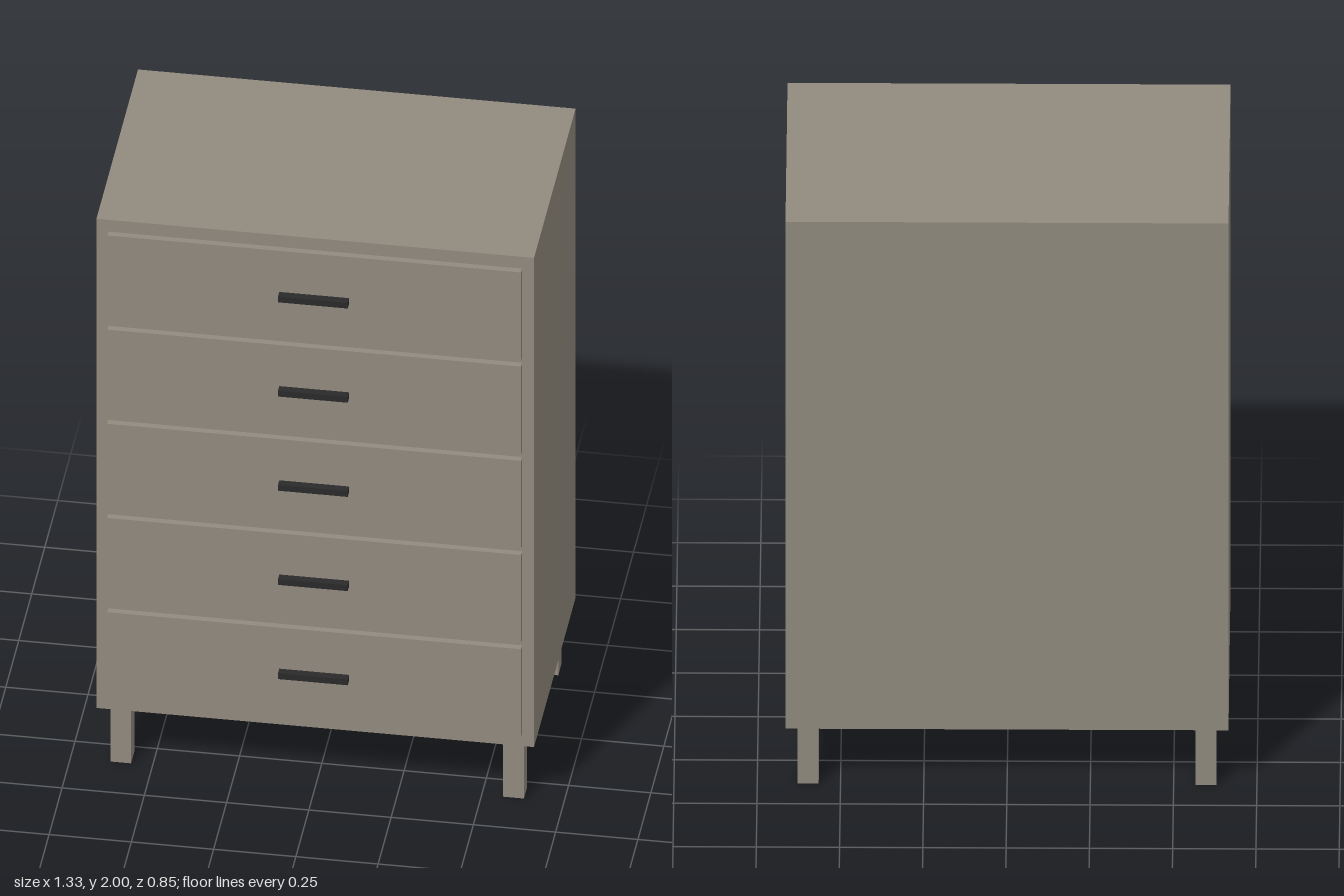
import * as THREE from 'three';

export function createModel() {
  const model = new THREE.Group();
  model.name = 'chestOfDrawers';

  const wood = new THREE.MeshStandardMaterial({ color: 0x918a7e });
  wood.name = 'greyBrownWood';
  const metal = new THREE.MeshStandardMaterial({ color: 0x2a2a2a });
  metal.name = 'blackMetal';

  function box(name, material, [w, h, d], [x, y, z], parent = model) {
    const mesh = new THREE.Mesh(new THREE.BoxGeometry(w, h, d), material);
    mesh.name = name;
    mesh.position.set(x, y, z);
    parent.add(mesh);
    return mesh;
  }

  // Cabinet body
  const bottom = 0.217, front = 0.377, back = -0.423;
  box('cabinet', wood, [1.33, 2 - bottom, front - back],
    [0, (2 + bottom) / 2, (front + back) / 2]);

  // Five drawers, each with a bar handle
  const panelDepth = 0.021, handleDepth = 0.025;
  for (let i = 0; i < 5; i++) {
    const drawer = new THREE.Group();
    drawer.name = `drawer${i + 1}`;
    drawer.position.set(0, 0.424 + i * 0.3433, front);
    model.add(drawer);
    box('drawerFront', wood, [1.258, 0.32, panelDepth], [0, 0, panelDepth / 2], drawer);
    box('handle', metal, [0.212, 0.021, handleDepth],
      [0, 0, panelDepth + handleDepth / 2], drawer);
  }

  // Four square legs
  for (const [side, x] of [['left', 0.597], ['right', -0.597]]) {
    for (const [end, z] of [['Front', 0.308], ['Back', -0.352]]) {
      box(`${side}${end}Leg`, wood, [0.063, bottom, 0.063], [x, bottom / 2, z]);
    }
  }

  return model;
}
